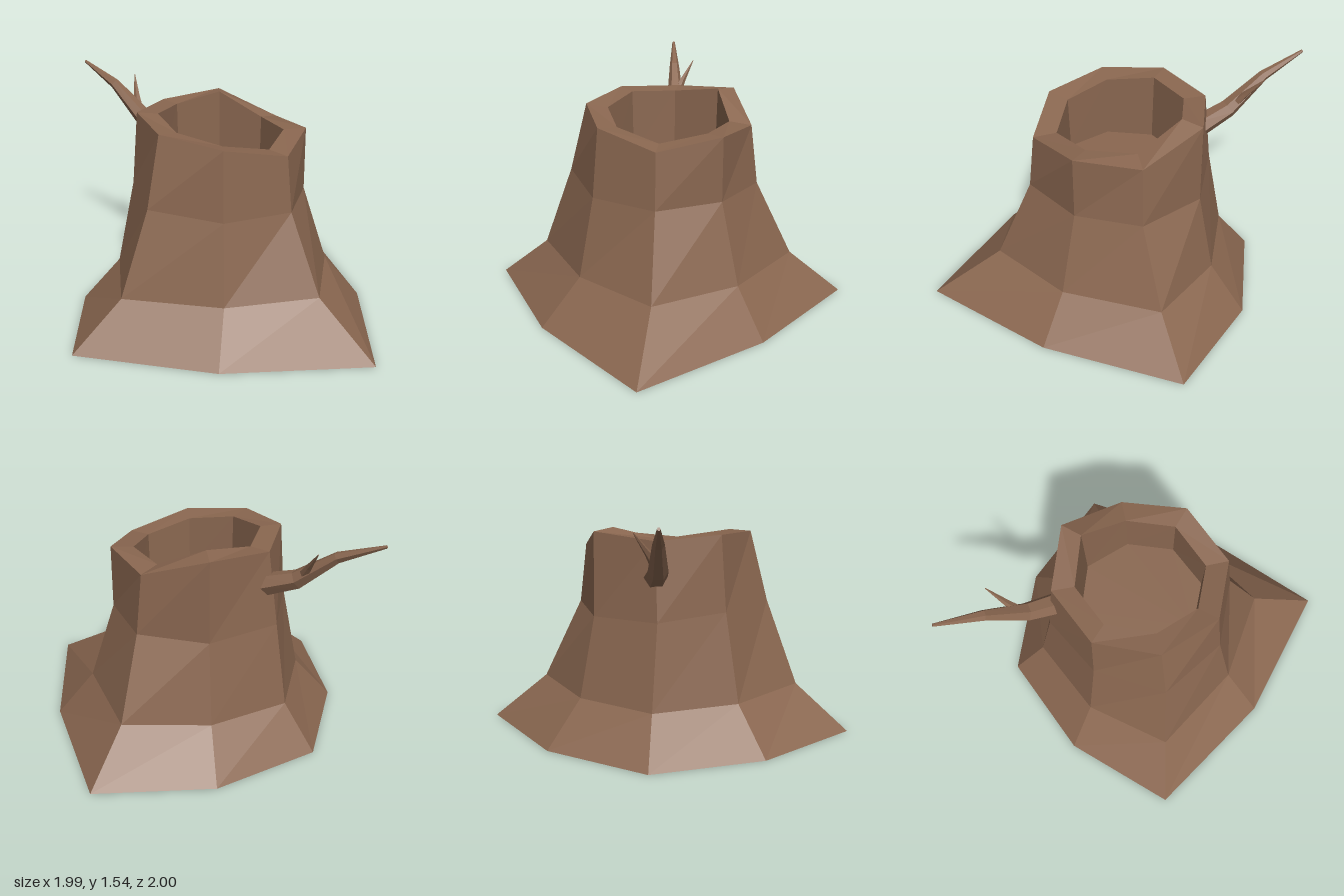
import * as THREE from 'three';

const bark = new THREE.MeshStandardMaterial({ color: 0x8a6750, flatShading: true, side: THREE.DoubleSide });

// Skins a list of rings (equal-length arrays of [x, y, z]) with quads; optionally caps the last ring.
function skin(name, rings, cap) {
  const n = rings[0].length;
  const pos = rings.flat(2);
  const index = [];
  for (let r = 0; r < rings.length - 1; r++) {
    for (let i = 0; i < n; i++) {
      const j = (i + 1) % n;
      const a = r * n + i, b = r * n + j;
      index.push(a, b, b + n, a, b + n, a + n);
    }
  }
  if (cap) {
    const last = (rings.length - 1) * n;
    for (let i = 1; i < n - 1; i++) index.push(last, last + i, last + i + 1);
  }
  const geo = new THREE.BufferGeometry();
  geo.setAttribute('position', new THREE.Float32BufferAttribute(pos, 3));
  geo.setIndex(index);
  const flat = geo.toNonIndexed();
  flat.computeVertexNormals();
  const mesh = new THREE.Mesh(flat, bark);
  mesh.name = name;
  return mesh;
}

// Tapered limb through points [x, y, z, radius].
function limb(name, points, sides) {
  const centres = points.map(p => new THREE.Vector3(p[0], p[1], p[2]));
  const rings = points.map((p, k) => {
    const dir = centres[Math.min(k + 1, centres.length - 1)].clone()
      .sub(centres[Math.max(k - 1, 0)]).normalize();
    const side = new THREE.Vector3(0, 1, 0).cross(dir).normalize();
    const up = dir.clone().cross(side);
    return Array.from({ length: sides }, (_, i) => {
      const t = i / sides * Math.PI * 2;
      return centres[k].clone()
        .addScaledVector(side, Math.cos(t) * p[3])
        .addScaledVector(up, Math.sin(t) * p[3]).toArray();
    });
  });
  return skin(name, rings, true);
}

export function createModel() {
  const group = new THREE.Group();
  group.name = 'treeStump';

  // Eight-sided rings, starting at the front and turning towards +x
  const foot = [[-0.04, 0, 1], [0.94, 0, 0.95], [0.99, 0, -0.01], [0.79, 0, -0.95],
    [0, 0, -1], [-0.69, 0, -0.71], [-0.98, 0, -0.01], [-0.97, 0, 0.77]];
  const flare = [[0, 0.3, 0.72], [0.62, 0.3, 0.6], [0.74, 0.3, -0.01], [0.57, 0.3, -0.66],
    [0, 0.3, -0.74], [-0.52, 0.3, -0.55], [-0.72, 0.3, -0.01], [-0.66, 0.3, 0.58]];
  const waist = [[0, 0.83, 0.6], [0.44, 0.83, 0.43], [0.57, 0.83, -0.01], [0.44, 0.83, -0.44],
    [0, 0.83, -0.62], [-0.46, 0.85, -0.46], [-0.6, 0.88, -0.02], [-0.48, 0.87, 0.46]];
  const outerRim = [[0, 1.29, 0.55], [0.41, 1.2, 0.4], [0.57, 1.26, -0.01], [0.4, 1.23, -0.41],
    [0, 1.38, -0.61], [-0.4, 1.35, -0.43], [-0.56, 1.37, -0.03], [-0.4, 1.34, 0.37]];
  const innerRim = [[0, 1.27, 0.4], [0.3, 1.21, 0.29], [0.42, 1.25, -0.01], [0.29, 1.25, -0.31],
    [0, 1.395, -0.46], [-0.3, 1.345, -0.32], [-0.42, 1.36, -0.03], [-0.29, 1.32, 0.27]];
  const hollowFloor = innerRim.map(([x, , z]) => [x * 0.98, 0.9, z * 0.97]);

  // Trunk shell, open underneath, with rim and hollow
  group.add(skin('trunk', [foot, flare, waist, outerRim, innerRim, hollowFloor], true));

  // Side branch at the back and the small twig on it
  group.add(limb('branch', [
    [-0.38, 1.12, -0.41, 0.075],
    [-0.56, 1.2, -0.53, 0.062],
    [-0.76, 1.4, -0.68, 0.036],
    [-0.99, 1.53, -0.855, 0.01],
  ], 6));
  group.add(limb('twig', [
    [-0.58, 1.22, -0.55, 0.035],
    [-0.6, 1.32, -0.63, 0.022],
    [-0.62, 1.455, -0.75, 0.003],
  ], 5));

  return group;
}
